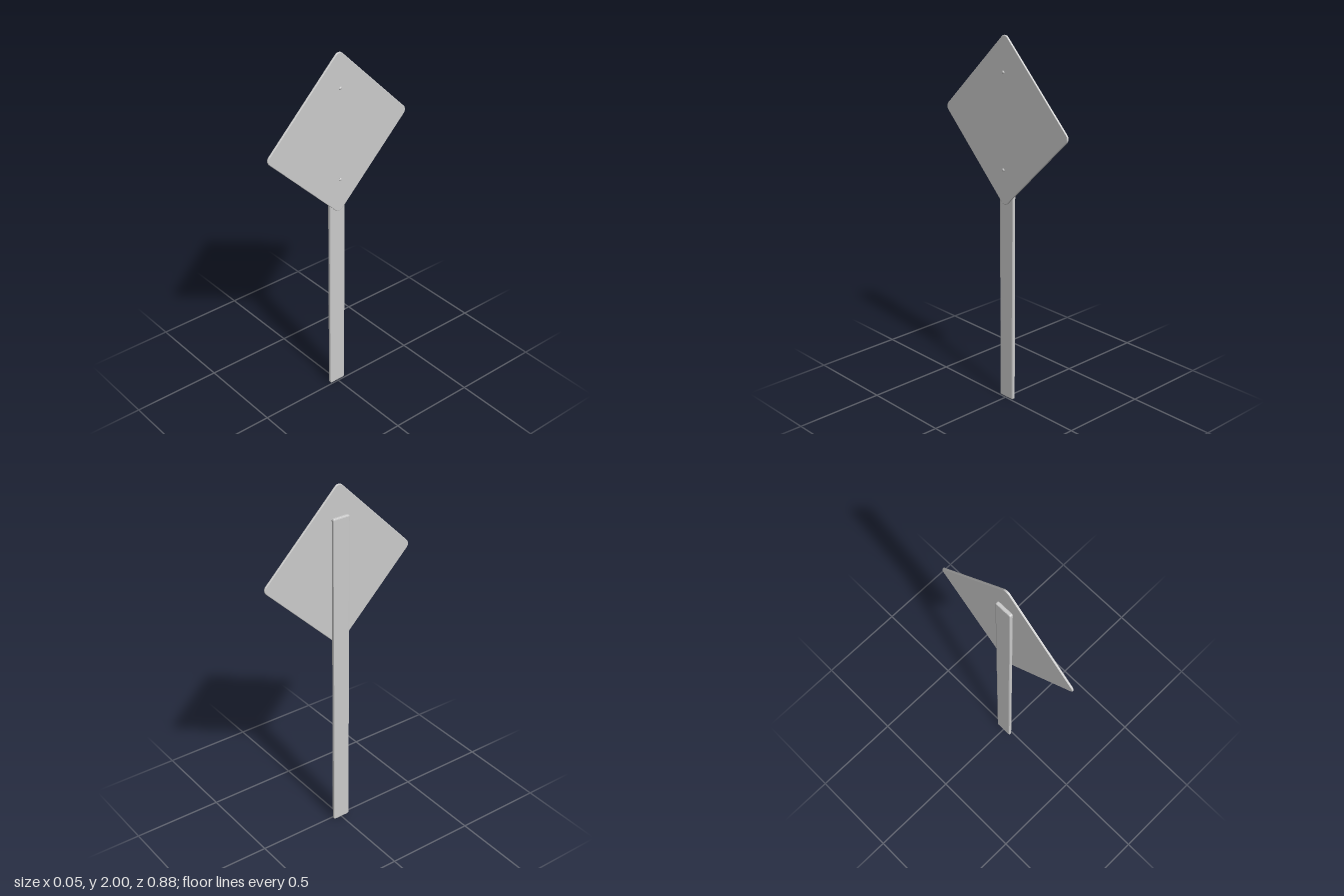
import * as THREE from 'three';

const material = new THREE.MeshStandardMaterial({ color: 0xcccccc });

// Rectangle with rounded corners, centred on the origin
function roundedRect(w, h, r) {
  const x = w / 2, y = h / 2;
  const s = new THREE.Shape();
  s.moveTo(-x + r, -y);
  s.lineTo(x - r, -y);
  s.absarc(x - r, -y + r, r, -Math.PI / 2, 0);
  s.lineTo(x, y - r);
  s.absarc(x - r, y - r, r, 0, Math.PI / 2);
  s.lineTo(-x + r, y);
  s.absarc(-x + r, y - r, r, Math.PI / 2, Math.PI);
  s.lineTo(-x, -y + r);
  s.absarc(-x + r, -y + r, r, Math.PI, Math.PI * 1.5);
  return s;
}

// Bevelled board lying in the yz plane, centred on the origin;
// w, h and thickness are the full outer sizes
function board(name, w, h, thickness, radius, bevelSize, bevelThickness, tilt = 0) {
  const shape = roundedRect(w - 2 * bevelSize, h - 2 * bevelSize, radius);
  const depth = thickness - 2 * bevelThickness;
  const geometry = new THREE.ExtrudeGeometry(shape, {
    depth, bevelSize, bevelThickness, bevelSegments: 2, curveSegments: 5,
  });
  geometry.translate(0, 0, -depth / 2);
  geometry.rotateZ(tilt);
  geometry.rotateY(Math.PI / 2);
  const mesh = new THREE.Mesh(geometry, material);
  mesh.name = name;
  return mesh;
}

export function createModel() {
  const group = new THREE.Group();
  group.name = 'signPost';

  // Flat post with bevelled ends
  const post = board('post', 0.1, 1.838, 0.02, 0.003, 0.007, 0.005);
  post.position.set(-0.015, 0.919, 0);
  group.add(post);

  // Diamond plate in front of the post
  const side = 0.642;
  const plate = board('signPlate', side, side, 0.011, 0.026, 0.004, 0.003, Math.PI / 4);
  plate.position.set(0.003, 1.561, 0);
  group.add(plate);

  // Domed bolt heads above and below the plate centre
  const profile = [[0, 0], [0.009, 0], [0.009, 0.002], [0.007, 0.004], [0.004, 0.0055], [0, 0.006]]
    .map(([r, y]) => new THREE.Vector2(r, y));
  const boltGeometry = new THREE.LatheGeometry(profile, 16);
  boltGeometry.rotateZ(-Math.PI / 2);
  for (const [name, y] of [['upperBolt', 1.817], ['lowerBolt', 1.309]]) {
    const bolt = new THREE.Mesh(boltGeometry, material);
    bolt.name = name;
    bolt.position.set(0.015, y, 0);
    group.add(bolt);
  }
  return group;
}
